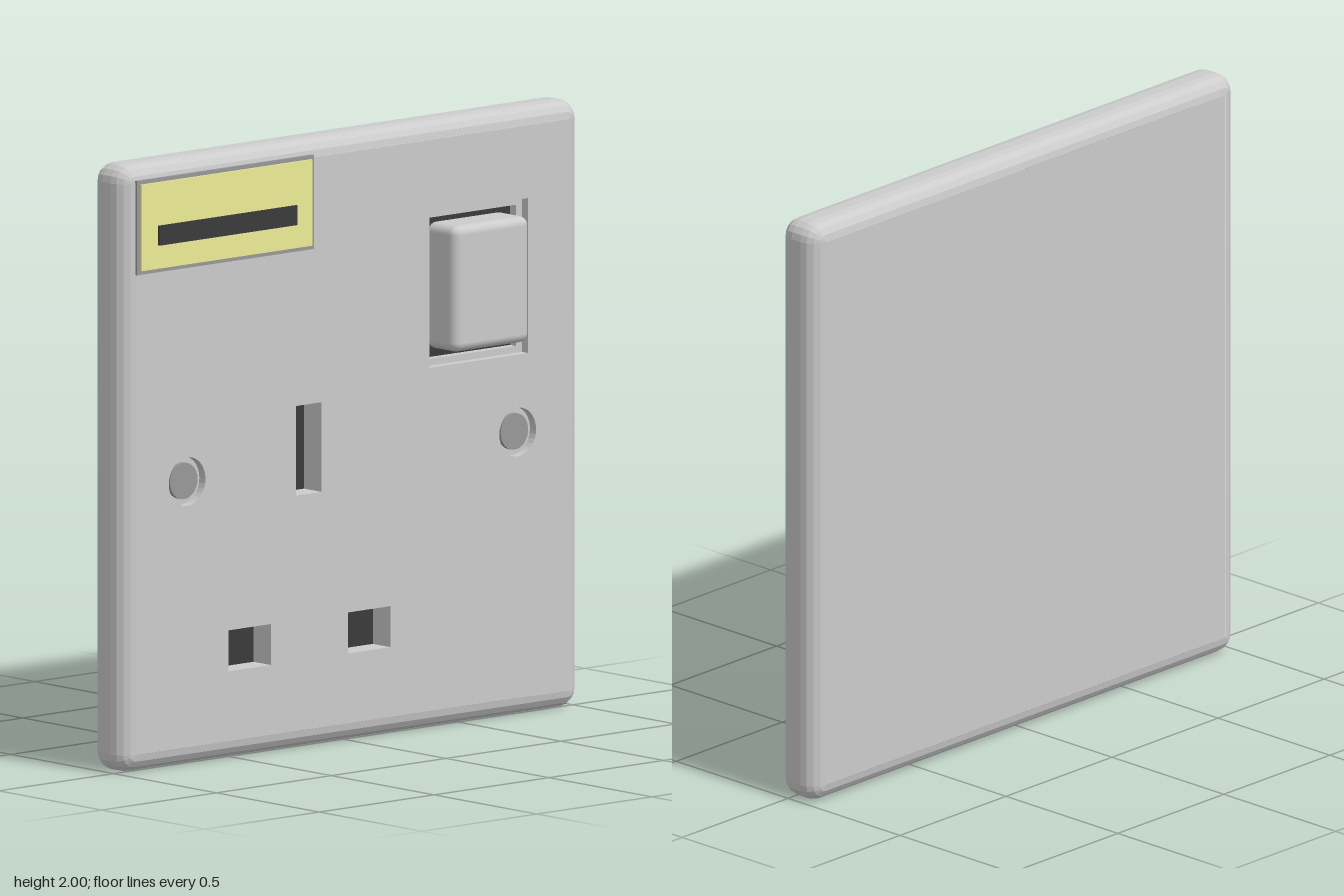
import * as THREE from 'three';
import { RoundedBoxGeometry } from 'three/addons/geometries/RoundedBoxGeometry.js';

const FRONT = 0.045, BACK = -0.115;

const paint = (color) => new THREE.MeshStandardMaterial({ color });
const grey = paint(0xcccccc);
const faceted = new THREE.MeshStandardMaterial({ color: 0xcccccc, flatShading: true });
const dark = paint(0x3b3b3b);
const screwGrey = paint(0x999999);
const yellow = paint(0xeeec96);

// Counter-clockwise outlines
const rect = (x0, x1, y0, y1) => [[x0, y0], [x1, y0], [x1, y1], [x0, y1]].map((p) => new THREE.Vector2(...p));
const circle = (x, y, r, n = 32) => Array.from({ length: n }, (_, i) => {
  const a = (i / n) * Math.PI * 2;
  return new THREE.Vector2(x + r * Math.cos(a), y + r * Math.sin(a));
});
function roundedSquare(half, r, cy, seg) {
  const pts = [];
  for (let c = 0; c < 4; c++) {
    const mid = Math.PI / 4 + c * Math.PI / 2;
    const cx = Math.sign(Math.cos(mid)) * (half - r), dy = Math.sign(Math.sin(mid)) * (half - r);
    for (let i = 0; i <= seg; i++) {
      const a = (c + i / seg) * Math.PI / 2;
      pts.push(new THREE.Vector2(cx + r * Math.cos(a), cy + dy + r * Math.sin(a)));
    }
  }
  return pts;
}

// Skin joining a series of [outline, z] loops
function loft(loops) {
  const pos = [];
  for (let k = 0; k < loops.length - 1; k++) {
    const [a, za] = loops[k], [b, zb] = loops[k + 1];
    for (let i = 0; i < a.length; i++) {
      const j = (i + 1) % a.length;
      const A = [a[i].x, a[i].y, za], B = [a[j].x, a[j].y, za];
      const C = [b[j].x, b[j].y, zb], D = [b[i].x, b[i].y, zb];
      pos.push(...A, ...B, ...C, ...A, ...C, ...D);
    }
  }
  const g = new THREE.BufferGeometry();
  g.setAttribute('position', new THREE.Float32BufferAttribute(pos, 3));
  g.computeVertexNormals();
  return g;
}

function add(parent, name, geometry, material, x = 0, y = 0, z = 0) {
  const mesh = new THREE.Mesh(geometry, material);
  mesh.name = name;
  mesh.position.set(x, y, z);
  parent.add(mesh);
  return mesh;
}

// Box given by its limits
function block(parent, name, x0, x1, y0, y1, z0, z1, material, radius = 0) {
  const size = [x1 - x0, y1 - y0, z1 - z0];
  const g = radius ? new RoundedBoxGeometry(...size, 3, radius) : new THREE.BoxGeometry(...size);
  return add(parent, name, g, material, (x0 + x1) / 2, (y0 + y1) / 2, (z0 + z1) / 2);
}

export function createModel() {
  const model = new THREE.Group();
  model.name = 'wallSocket';
  const holes = [];

  // Recess: walls through the given [outline, depth] steps, then a floor
  function recess(name, steps, floorMaterial) {
    const g = new THREE.Group();
    g.name = name;
    model.add(g);
    holes.push(steps[0][0]);
    const loops = steps.map(([outline, depth]) => [outline, FRONT - depth]);
    add(g, name + 'Walls', loft(loops), faceted);
    const [outline, z] = loops[loops.length - 1];
    add(g, name + 'Floor', new THREE.ShapeGeometry(new THREE.Shape(outline)), floorMaterial, 0, 0, z);
  }

  // Pin slots
  const slots = { earthSlot: [-0.245, -0.135, 0.835, 1.13], rightPinSlot: [-0.54, -0.355, 0.29, 0.425], leftPinSlot: [-0.02, 0.165, 0.29, 0.425] };
  for (const [name, limits] of Object.entries(slots)) {
    recess(name, [[rect(...limits), 0], [rect(...limits), 0.085]], dark);
  }

  // Countersunk fixing screws
  for (const [side, x] of [['left', 0.72], ['right', -0.72]]) {
    const rim = circle(x, 0.935, 0.08);
    recess(side + 'ScrewHole', [[rim, 0], [rim, 0.03]], grey);
    const head = add(model, side + 'Screw', new THREE.CylinderGeometry(0.06, 0.06, 0.02, 32), screwGrey, x, 0.935, FRONT - 0.026);
    head.rotation.x = Math.PI / 2;
  }

  // Stepped switch opening and its rocker
  const outer = rect(0.335, 0.765, 1.19, 1.7), inner = rect(0.36, 0.74, 1.212, 1.677);
  recess('switchOpening', [[outer, 0], [outer, 0.03], [inner, 0.03], [inner, 0.06]], dark);
  block(model, 'switchRocker', 0.385, 0.715, 1.24, 1.655, -0.04, 0.115, grey, 0.03);

  // Plate rim: quarter-round edges front and back
  const r = 0.06, seg = 4, loops = [];
  for (const [sign, zc] of [[-1, BACK + r], [1, FRONT - r]]) {
    for (let i = 0; i <= seg; i++) {
      const t = (sign < 0 ? seg - i : i) / seg * Math.PI / 2;
      const corner = Math.max(r * Math.cos(t), 0.0005);
      loops.push([roundedSquare(1 - r + corner, corner, 1, seg), zc + sign * r * Math.sin(t)]);
    }
  }
  add(model, 'plateRim', loft(loops), faceted);

  // Flat plate faces, the front one pierced by the recesses
  const half = 1 - r;
  const face = new THREE.Shape(rect(-half, half, 1 - half, 1 + half));
  const back = add(model, 'plateBack', new THREE.ShapeGeometry(face), grey, 0, 0, BACK);
  back.rotation.y = Math.PI;
  const pierced = face.clone();
  pierced.holes = holes.map((h) => new THREE.Path(h));
  add(model, 'plateFront', new THREE.ShapeGeometry(pierced), grey, 0, 0, FRONT);

  // Label panel with frame and dark strip
  block(model, 'labelFrame', -0.945, -0.175, 1.64, 1.95, 0.03, 0.053, screwGrey);
  block(model, 'labelPanel', -0.932, -0.188, 1.653, 1.937, 0.04, 0.06, yellow);
  block(model, 'labelStrip', -0.86, -0.26, 1.73, 1.795, 0.05, 0.068, dark);

  return model;
}
